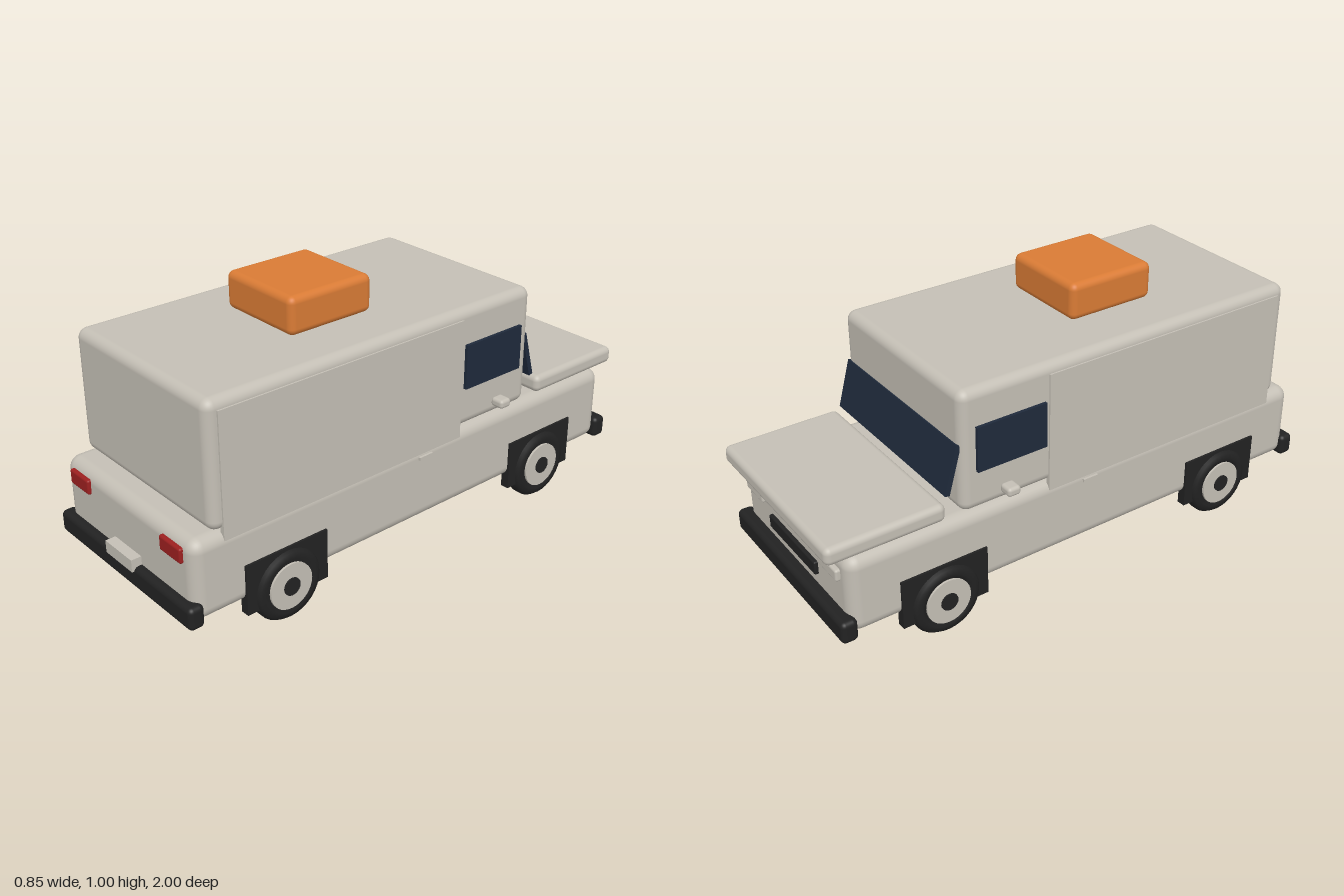
import * as THREE from 'three';
import { RoundedBoxGeometry } from 'three/addons/geometries/RoundedBoxGeometry.js';

function material(name, color) {
  const m = new THREE.MeshStandardMaterial({ color });
  m.name = name;
  return m;
}

export function createModel() {
  const model = new THREE.Group();
  model.name = 'boxVan';
  const paint = material('warmGreyPaint', 0xc4bfb5);
  const black = material('blackRubber', 0x222222);
  const glass = material('darkBlueGlass', 0x1f2a3b);
  const red = material('redLamp', 0x9c2020);
  const orange = material('orangePlastic', 0xd97b35);

  // Box from its limits, rounded when a radius is given
  function box(name, mat, [x0, x1], [y0, y1], [z0, z1], radius = 0) {
    const w = x1 - x0, h = y1 - y0, d = z1 - z0;
    const geometry = radius
      ? new RoundedBoxGeometry(w, h, d, 4, radius)
      : new THREE.BoxGeometry(w, h, d);
    const mesh = new THREE.Mesh(geometry, mat);
    mesh.name = name;
    mesh.position.set((x0 + x1) / 2, (y0 + y1) / 2, (z0 + z1) / 2);
    model.add(mesh);
    return mesh;
  }
  // The same box on both sides, limits given for the +x side
  function pair(name, mat, [x0, x1], y, z, radius) {
    box(name + 'Left', mat, [x0, x1], y, z, radius);
    box(name + 'Right', mat, [-x1, -x0], y, z, radius);
  }

  // Bodywork
  box('lowerBody', paint, [-0.375, 0.375], [0.13, 0.42], [-0.935, 0.96], 0.045);
  box('cargoBox', paint, [-0.367, 0.367], [0.42, 0.865], [-0.51, 0.88], 0.035);
  box('hood', paint, [-0.37, 0.37], [0.425, 0.49], [-1.0, -0.57], 0.022);
  pair('sidePanel', paint, [0.355, 0.373], [0.375, 0.83], [-0.17, 0.84]);
  pair('doorHandle', paint, [0.365, 0.383], [0.37, 0.382], [-0.03, 0.03]);
  box('roofUnit', orange, [-0.174, 0.172], [0.865, 1.0], [0.065, 0.41], 0.025);

  // Glass
  pair('sideWindow', glass, [0.36, 0.379], [0.57, 0.735], [-0.455, -0.185]);
  const windshield = box('windshield', glass, [-0.35, 0.35], [0.5, 0.68], [-0.54, -0.522]);
  windshield.rotation.x = 0.27;

  // Mirrors
  pair('mirror', paint, [0.372, 0.426], [0.463, 0.496], [-0.37, -0.32], 0.012);

  // Bumpers and number plate
  box('rearBumper', black, [-0.39, 0.388], [0.125, 0.207], [0.932, 0.99], 0.018);
  box('frontBumper', black, [-0.39, 0.388], [0.125, 0.207], [-0.977, -0.917], 0.018);
  box('numberPlate', paint, [-0.078, 0.077], [0.193, 0.238], [0.955, 0.998]);

  // Lamps and grille
  pair('tailLamp', red, [0.21, 0.325], [0.335, 0.39], [0.94, 0.972], 0.008);
  pair('headLamp', paint, [0.2, 0.325], [0.325, 0.368], [-0.952, -0.925], 0.008);
  box('grille', black, [-0.165, 0.165], [0.25, 0.3], [-0.949, -0.925], 0.006);

  // Wheels and their arch plates
  const tyreProfile = [
    [0.075, -0.026], [0.1, -0.034], [0.12, -0.03], [0.132, -0.014],
    [0.132, 0.014], [0.12, 0.03], [0.1, 0.034], [0.075, 0.026], [0.075, -0.026],
  ].map(([r, y]) => new THREE.Vector2(r, y));
  const tyre = new THREE.LatheGeometry(tyreProfile, 32);
  const hub = new THREE.CylinderGeometry(0.084, 0.084, 0.074, 32);
  const cap = new THREE.CylinderGeometry(0.032, 0.032, 0.084, 20);
  for (const [place, z] of [['rear', 0.608], ['front', -0.592]]) {
    pair(place + 'WheelArch', black, [0.35, 0.383], [0.085, 0.27], [z - 0.164, z + 0.164]);
    for (const side of [1, -1]) {
      const wheel = new THREE.Group();
      wheel.name = place + (side > 0 ? 'LeftWheel' : 'RightWheel');
      for (const [name, geometry, mat] of [
        ['tyre', tyre, black], ['hub', hub, paint], ['hubCap', cap, black],
      ]) {
        const mesh = new THREE.Mesh(geometry, mat);
        mesh.name = name;
        wheel.add(mesh);
      }
      wheel.rotation.z = Math.PI / 2;
      wheel.position.set(side * 0.363, 0.132, z);
      model.add(wheel);
    }
  }
  return model;
}
